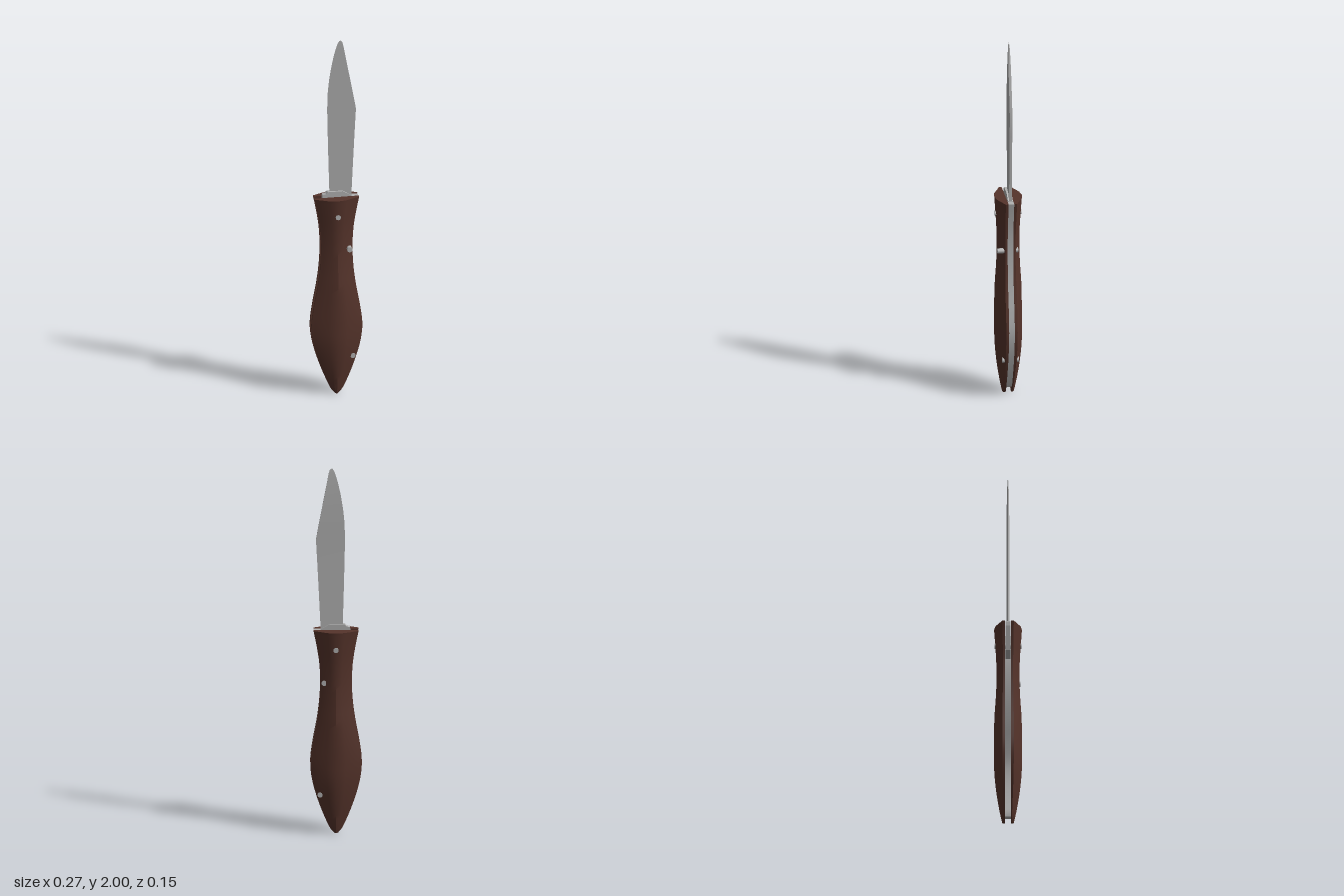
import * as THREE from 'three';
import { toCreasedNormals } from 'three/addons/utils/BufferGeometryUtils.js';

const wood = new THREE.MeshStandardMaterial({ color: 0x56342b });
wood.name = 'brown wood';
const steel = new THREE.MeshStandardMaterial({ color: 0xb2b2b2 });
steel.name = 'steel';

// Skin a stack of equal-length rings [{ y, pts: [[x, z], ...] }], bottom to top, with end caps
function loft(rings, crease = 0.35) {
  const n = rings[0].pts.length;
  const pos = [], idx = [];
  for (const { y, pts } of rings) for (const [x, z] of pts) pos.push(x, y, z);
  for (let r = 0; r < rings.length - 1; r++) {
    for (let i = 0; i < n; i++) {
      const a = r * n + i, b = r * n + (i + 1) % n;
      idx.push(a, b, b + n, a, b + n, a + n);
    }
  }
  const top = (rings.length - 1) * n;
  for (let i = 1; i < n - 1; i++) {
    idx.push(0, i + 1, i);
    idx.push(top, top + i, top + i + 1);
  }
  const g = new THREE.BufferGeometry();
  g.setAttribute('position', new THREE.Float32BufferAttribute(pos, 3));
  g.setIndex(idx);
  return toCreasedNormals(g, crease);
}

export function createModel() {
  const knife = new THREE.Group();
  knife.name = 'foldingKnife';
  const add = (name, geometry, material, parent = knife) => {
    const m = new THREE.Mesh(geometry, material);
    m.name = name;
    parent.add(m);
    return m;
  };

  // Handle profile: half width, height, half depth
  const gap = 0.015;
  const profile = new THREE.CatmullRomCurve3([
    [0.01, 0, 0.03], [0.03, 0.025, 0.036], [0.064, 0.1, 0.05], [0.1, 0.2, 0.064],
    [0.126, 0.3, 0.072], [0.135, 0.39, 0.073], [0.122, 0.5, 0.073], [0.102, 0.61, 0.071],
    [0.088, 0.72, 0.064], [0.083, 0.83, 0.06], [0.088, 0.94, 0.062], [0.103, 1.04, 0.068],
    [0.118, 1.115, 0.073],
  ].map((p) => new THREE.Vector3(...p))).getPoints(48);

  // Wooden scales: bevelled outer face, flat inner face
  const section = [[-1, 0], [-1, 0.26], [-0.88, 0.37], [-0.37, 0.88], [0, 1],
    [0.37, 0.88], [0.88, 0.37], [1, 0.26], [1, 0]];
  const scaleGeometry = loft(profile.map(({ x: w, y, z: d }) => ({
    y, pts: section.map(([u, v]) => [u * w, gap + v * (d - gap)]),
  })));
  add('frontScale', scaleGeometry, wood);
  add('backScale', scaleGeometry, wood).rotation.y = Math.PI;

  // Back spring filling the spine side of the handle
  add('backSpring', loft(profile.filter((p) => p.y > 0.025).map(({ x: w, y }) => {
    const xi = w - Math.min(0.04, w * 0.8), xo = w - 0.001;
    return { y, pts: [[xi, gap], [xo, gap], [xo, -gap], [xi, -gap]] };
  })), steel);

  // Blade: wedge section, sharp on -x, thick spine on +x: [y, edge x, spine x, half thickness]
  add('blade', loft([
    [1.0, -0.033, 0.078, 0.007], [1.13, -0.035, 0.081, 0.007], [1.3, -0.04, 0.089, 0.007],
    [1.5, -0.045, 0.099, 0.007], [1.61, -0.047, 0.105, 0.007], [1.7, -0.045, 0.089, 0.007],
    [1.78, -0.037, 0.074, 0.007], [1.86, -0.024, 0.059, 0.0065], [1.92, -0.011, 0.048, 0.005],
    [1.97, 0.003, 0.039, 0.0035], [1.99, 0.011, 0.034, 0.002], [2.0, 0.019, 0.027, 0.0005],
  ].map(([y, e, s, t]) => ({ y, pts: [[e, 0], [s, t], [s, -t]] }))), steel);

  // Tang: thick root of the blade with a small kick on the edge side
  const tang = new THREE.Shape([
    [-0.06, 0.97], [0.076, 0.97], [0.08, 1.118], [0.035, 1.145], [-0.045, 1.145],
    [-0.055, 1.135], [-0.073, 1.13], [-0.076, 1.105],
  ].map((p) => new THREE.Vector2(...p)));
  const tangGeometry = new THREE.ExtrudeGeometry(tang, { depth: 0.026, bevelEnabled: false });
  tangGeometry.translate(0, 0, -0.013);
  add('tang', tangGeometry, steel);

  // Pins through the handle: [name, x, y, back z, front z]
  for (const [name, x, y, z0, z1] of [
    ['pivotPin', 0, 1.02, -0.07, 0.07],
    ['lockPin', 0.062, 0.83, -0.043, 0.066],
    ['endPin', 0.083, 0.215, -0.044, 0.044],
  ]) {
    const pin = add(name, new THREE.CylinderGeometry(0.014, 0.014, z1 - z0, 12), steel);
    pin.rotation.x = Math.PI / 2;
    pin.position.set(x, y, (z0 + z1) / 2);
  }

  return knife;
}
